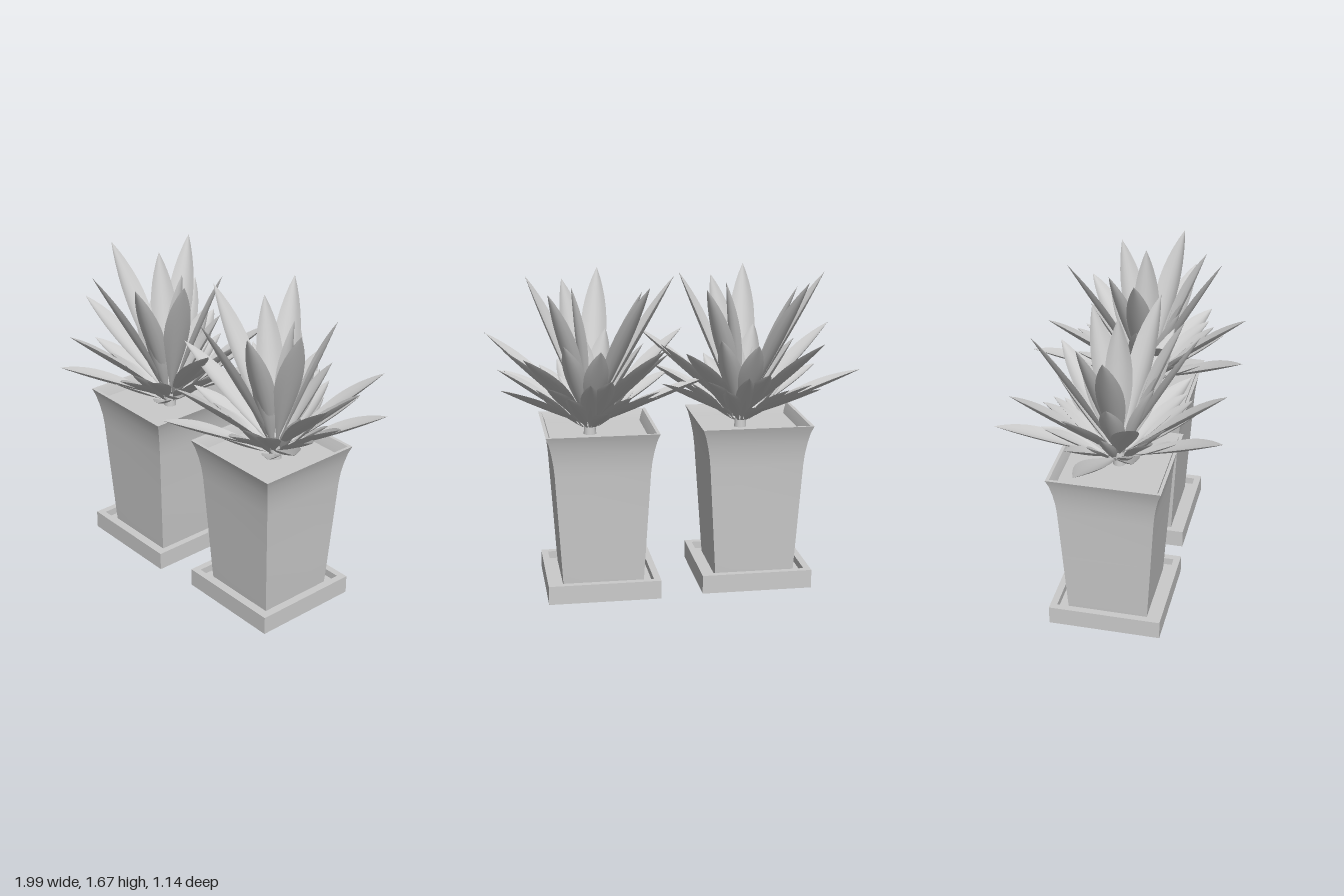
import * as THREE from 'three';
import { toCreasedNormals } from 'three/addons/utils/BufferGeometryUtils.js';

const grey = new THREE.MeshStandardMaterial({ color: 0xcccccc, side: THREE.DoubleSide });

function add(group, name, geometry) {
  const mesh = new THREE.Mesh(geometry, grey);
  mesh.name = name;
  group.add(mesh);
  return mesh;
}

// Square vessel from a [half width, height] profile
function squareLathe(profile) {
  const points = profile.map(([h, y]) => new THREE.Vector2(h * Math.SQRT2, y));
  const geo = new THREE.LatheGeometry(points, 4).rotateY(Math.PI / 4);
  return toCreasedNormals(geo, 0.6);
}

// Cupped, pointed blade from the crown to its tip
function leafGeometry(base, tip, width) {
  const rows = 14, cols = 6;
  const span = tip.clone().sub(base);
  const out = new THREE.Vector3(span.x, 0, span.z).normalize();
  const mid = base.clone().lerp(tip, 0.5).addScaledVector(out, 0.01);
  mid.y -= 0.01;
  const curve = new THREE.QuadraticBezierCurve3(base, mid, tip);
  const side = new THREE.Vector3(-out.z, 0, out.x);
  const pos = [], index = [];
  for (let i = 0; i <= rows; i++) {
    const t = i / rows;
    const p = curve.getPoint(t);
    const up = side.clone().cross(curve.getTangent(t)).normalize();
    if (up.y < 0) up.negate();
    // narrow stalk, widest past the middle, sharp tip
    const swell = Math.pow(Math.sin(Math.PI * Math.pow(t, 1.25)), 0.9);
    const half = width / 2 * Math.max(swell, 0.14 * (1 - t));
    for (let j = 0; j <= cols; j++) {
      const s = j / cols * 2 - 1;
      const v = p.clone().addScaledVector(side, s * half)
        .addScaledVector(up, 0.45 * half * s * s);
      pos.push(v.x, v.y, v.z);
      if (i < rows && j < cols) {
        const a = i * (cols + 1) + j, b = a + cols + 1;
        index.push(a, a + 1, b, a + 1, b + 1, b);
      }
    }
  }
  const geo = new THREE.BufferGeometry();
  geo.setAttribute('position', new THREE.Float32BufferAttribute(pos, 3));
  geo.setIndex(index);
  geo.computeVertexNormals();
  return geo;
}

// Short leaves spiralling around the crown
const shortTips = Array.from({ length: 16 }, (_, i) => {
  const angle = i * 2.4, reach = 0.24 + 0.05 * (i % 4);
  return [0.05 + reach * Math.cos(angle), 1.04 + 0.07 * (i % 3), reach * Math.sin(angle)];
});

// Leaf tips by tier, relative to the pot's centre
const tiers = [
  { name: 'upperLeaf', width: 0.14, tips: [
    [-0.42, 1.67, 0.02], [-0.07, 1.67, 0.43], [0.35, 1.67, 0.17], [-0.22, 1.67, -0.37],
    [-0.22, 1.62, -0.15], [0.14, 1.63, 0.32], [0.27, 1.62, -0.17], [0.13, 1.63, -0.01]] },
  { name: 'middleLeaf', width: 0.135, tips: [
    [-0.49, 1.37, 0.16], [-0.1, 1.37, 0.57], [0.57, 1.37, 0.21], [-0.28, 1.37, -0.47],
    [-0.08, 1.37, 0.21], [0.06, 1.36, 0.2], [0.42, 1.33, -0.37], [0.2, 1.36, -0.22],
    [-0.25, 1.32, 0], [-0.35, 1.3, -0.2], [0.5, 1.33, -0.1], [0.02, 1.34, -0.3]] },
  { name: 'lowerLeaf', width: 0.135, tips: [
    [-0.6, 1.15, -0.09], [-0.2, 1.16, 0.57], [0.47, 1.14, 0.32], [-0.23, 1.16, -0.57],
    [0.53, 1.16, -0.28], [-0.42, 1.14, 0.16], [0.13, 1.15, 0.43], [-0.02, 1.2, -0.37],
    [0.27, 1.16, 0.33], [0.42, 1.12, 0.14], [0.3, 1.17, -0.33], [-0.2, 1.12, 0.22],
    [-0.3, 1.1, -0.2], [0.52, 1.2, 0.05]] },
  { name: 'shortLeaf', width: 0.12, tips: shortTips },
];

function createPlant() {
  const plant = new THREE.Group();
  plant.name = 'plant';
  const crown = new THREE.Vector3(0.04, 0.88, 0.01);
  tiers.forEach(({ name, width, tips }, tier) => tips.forEach((xyz, i) => {
    const tip = new THREE.Vector3(...xyz);
    const base = crown.clone();
    const a = Math.atan2(tip.z - crown.z, tip.x - crown.x);
    const r = 0.015 + 0.012 * tier;
    base.add(new THREE.Vector3(r * Math.cos(a), 0.05 - 0.015 * tier, r * Math.sin(a)));
    const size = Math.min(1, 0.45 + base.distanceTo(tip));
    add(plant, name + (i + 1), leafGeometry(base, tip, width * size));
  }));
  // short stem holding the crown in the soil
  add(plant, 'stem', new THREE.CylinderGeometry(0.025, 0.035, 0.12, 12))
    .position.set(crown.x, 0.89, crown.z);
  return plant;
}

function createPlanter() {
  const planter = new THREE.Group();
  planter.name = 'planter';

  const vessel = new THREE.Group();
  vessel.name = 'vessel';
  vessel.rotation.y = -0.042;
  planter.add(vessel);

  // tapered pot with a flared rim, open underneath
  add(vessel, 'pot', squareLathe([
    [0.213, 0.06], [0.216, 0.1], [0.234, 0.4], [0.251, 0.68], [0.257, 0.74],
    [0.267, 0.8], [0.281, 0.86], [0.296, 0.9], [0.279, 0.9], [0.264, 0.86], [0.252, 0.81]]));

  // soil just below the rim
  const soil = add(vessel, 'soil', new THREE.PlaneGeometry(0.52, 0.52).rotateX(-Math.PI / 2));
  soil.position.y = 0.84;

  // thin saucer, hollow below, with a recessed floor around the pot
  add(vessel, 'saucer', squareLathe([
    [0.298, 0], [0.298, 0.1], [0.262, 0.1], [0.262, 0.06], [0.213, 0.06]]));

  planter.add(createPlant());
  return planter;
}

export function createModel() {
  const model = new THREE.Group();
  model.name = 'pairOfPottedPlants';
  for (const [name, x] of [['rightPlanter', -0.4], ['leftPlanter', 0.424]]) {
    const planter = createPlanter();
    planter.name = name;
    planter.position.x = x;
    model.add(planter);
  }
  return model;
}
